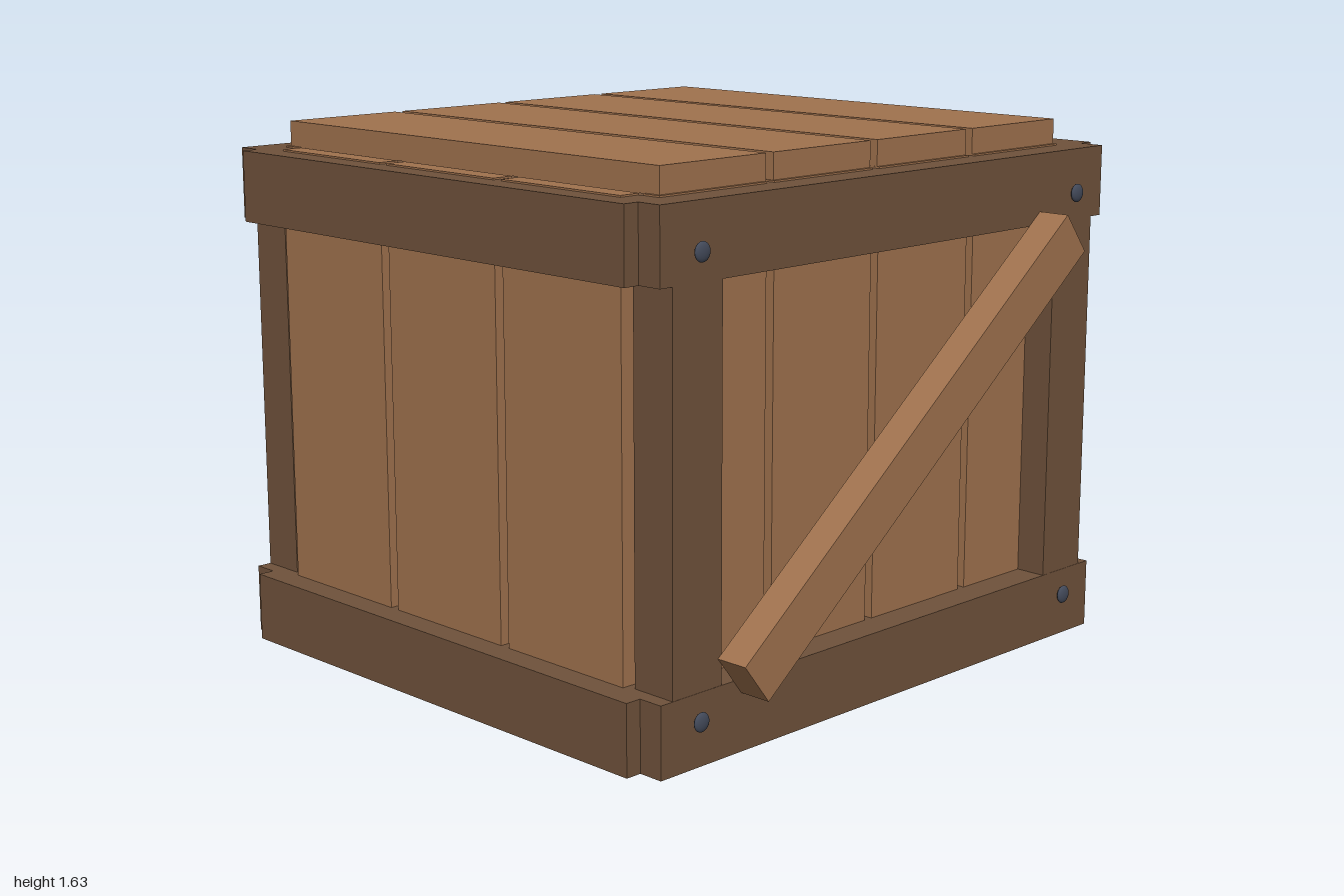
import * as THREE from 'three';

const plankMat = new THREE.MeshStandardMaterial({ color: 0xa0724e });
const frameMat = new THREE.MeshStandardMaterial({ color: 0x6f523b });
const boltMat = new THREE.MeshStandardMaterial({ color: 0x434a5a });

export function createModel() {
  const model = new THREE.Group();
  model.name = 'crate';
  const crate = new THREE.Group();
  crate.name = 'crateBody';
  crate.position.z = -0.04; // the brace makes the front deeper
  model.add(crate);

  // Box given by its extents
  const box = (name, mat, x0, x1, y0, y1, z0, z1) => {
    const mesh = new THREE.Mesh(new THREE.BoxGeometry(x1 - x0, y1 - y0, z1 - z0), mat);
    mesh.position.set((x0 + x1) / 2, (y0 + y1) / 2, (z0 + z1) / 2);
    mesh.name = name;
    crate.add(mesh);
    return mesh;
  };
  // Same box, mirrored to the chosen side of the x or z axis
  const sideX = (s, name, mat, a, b, ...rest) =>
    box(name, mat, Math.min(s * a, s * b), Math.max(s * a, s * b), ...rest);
  const sideZ = (s, name, mat, x0, x1, y0, y1, a, b) =>
    box(name, mat, x0, x1, y0, y1, Math.min(s * a, s * b), Math.max(s * a, s * b));

  // Inner core, seen through the gaps
  box('innerBox', frameMat, -0.842, 0.842, 0.01, 1.54, -0.737, 0.737);

  // Lid boards and the upright boards of front and back
  for (let i = 0; i < 4; i++) {
    const x = -0.645 + i * 0.43;
    box('lidPlank', plankMat, x - 0.2, x + 0.2, 1.548, 1.626, -0.8, 0.8);
    const w = -0.653 + i * 0.434;
    for (const s of [-1, 1])
      sideZ(s, s > 0 ? 'frontPlank' : 'backPlank', plankMat, w - 0.202, w + 0.202, 0, 1.55, 0.75, 0.81);
  }

  const boltGeo = new THREE.SphereGeometry(1, 16, 10);
  for (const s of [-1, 1]) {
    // Upright boards of the left and right sides
    for (const z of [-0.501, 0, 0.501])
      sideX(s, 'sidePlank', plankMat, 0.855, 0.922, 0, 1.55, z - 0.234, z + 0.234);

    // Rails around the top and bottom
    for (const [y0, y1] of [[0.01, 0.22], [1.33, 1.545]]) {
      sideX(s, 'sideRail', frameMat, 0.855, 1, y0, y1, -0.83, 0.83);
      sideZ(s, 'endRail', frameMat, -0.95, 0.95, y0, y1, 0.763, 0.908);
    }

    // Corner posts
    for (const t of [-1, 1])
      sideZ(t, 'cornerPost', frameMat, s * 0.8125 - 0.0925, s * 0.8125 + 0.0925, 0.215, 1.335, 0.763, 0.907);

    // Flattened bolt heads
    for (const t of [-1, 1]) for (const y of [0.142, 1.412]) {
      const bolt = new THREE.Mesh(boltGeo, boltMat);
      bolt.name = 'bolt';
      bolt.scale.set(0.028, 0.028, 0.01);
      bolt.position.set(s * 0.81, y, t * 0.921);
      crate.add(bolt);
    }
  }

  // Diagonal brace on the front
  const brace = box('diagonalBrace', plankMat, -0.873, 0.873, 0.7, 0.85, 0.908, 1.01);
  brace.rotation.z = 0.661;

  return model;
}
